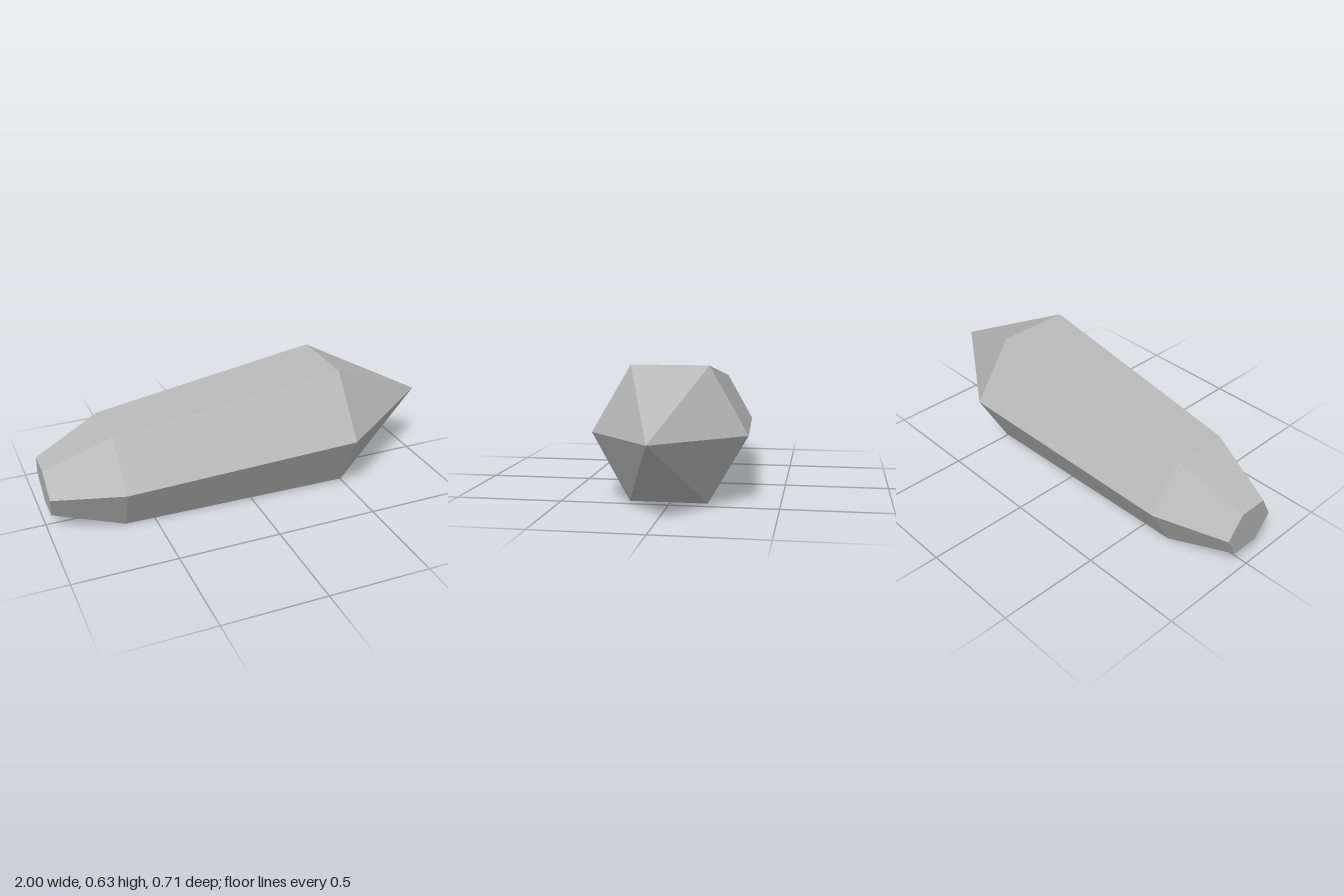
import * as THREE from 'three';

export function createModel() {
  const group = new THREE.Group();
  group.name = 'crystal';

  const stone = new THREE.MeshStandardMaterial({ color: 0xb8b8b8 });
  stone.name = 'grey stone';
  stone.flatShading = true;

  // Six-sided shard: flat base, short flare, long widening shaft, pointed tip
  const profile = [
    [0, 0],
    [0.14, 0],
    [0.275, 0.329],
    [0.357, 1.464],
    [0, 1.995],
  ].map(([r, d]) => new THREE.Vector2(r, d));
  const geometry = new THREE.LatheGeometry(profile, 6).toNonIndexed();
  geometry.computeVertexNormals();

  // Laid on its side along x, tip slightly raised
  const tilt = 0.073;
  const shard = new THREE.Mesh(geometry, stone);
  shard.name = 'crystalShard';
  shard.rotation.z = tilt - Math.PI / 2;
  shard.position.set(-0.99, 0.215, 0);
  group.add(shard);

  return group;
}
